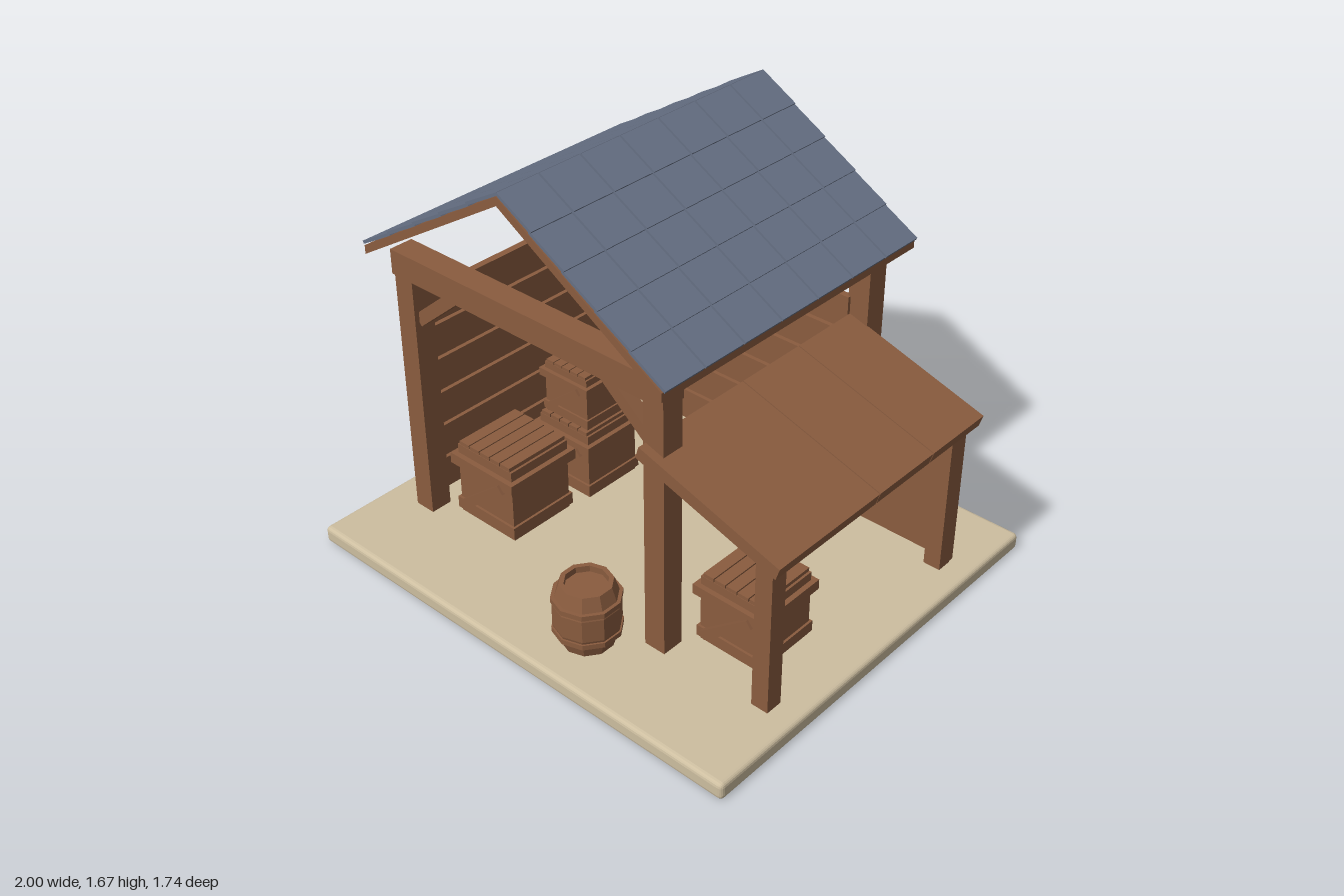
import * as THREE from 'three';
import { RoundedBoxGeometry } from 'three/addons/geometries/RoundedBoxGeometry.js';

const material = (name, color) => Object.assign(new THREE.MeshStandardMaterial({ color, flatShading: true }), { name });

export function createModel() {
  const wood = material('wood', 0x8a5c3f);
  const slate = material('slate', 0x667084);
  const sand = material('sand', 0xcdbea0);
  const model = new THREE.Group();

  function add(parent, name, geometry, mat, x = 0, y = 0, z = 0) {
    const mesh = new THREE.Mesh(geometry, mat);
    mesh.name = name;
    mesh.position.set(x, y, z);
    parent.add(mesh);
    return mesh;
  }
  // Box given by its lower and upper limits on each axis
  function block(parent, name, x0, x1, y0, y1, z0, z1, mat = wood) {
    const box = new THREE.BoxGeometry(x1 - x0, y1 - y0, z1 - z0);
    return add(parent, name, box, mat, (x0 + x1) / 2, (y0 + y1) / 2, (z0 + z1) / 2);
  }
  function group(name, x = 0, y = 0, z = 0) {
    const g = new THREE.Group();
    g.name = name;
    g.position.set(x, y, z);
    model.add(g);
    return g;
  }

  // Ground slab
  const floor = 0.07;
  add(model, 'groundSlab', new RoundedBoxGeometry(2, floor, 1.744, 2, 0.018), sand, 0, floor / 2, 0);

  // Main frame: four posts, front beam and two braces
  const frame = group('frame');
  for (const x of [-0.85, 0.36]) {
    block(frame, 'frontPost', x, x + 0.09, floor, 1.1, 0.445, 0.535);
    block(frame, 'backPost', x, x + 0.09, floor, 1.2, -0.655, -0.56);
  }
  block(frame, 'frontBeam', -0.855, 0.455, 1.1, 1.2, 0.443, 0.543);
  for (const side of [-1, 1]) {
    const brace = add(frame, 'brace', new THREE.BoxGeometry(0.29, 0.05, 0.05), wood, -0.2 + side * 0.455, 1.02, 0.49);
    brace.rotation.z = -side * 0.7;
  }

  // Plank walls at the back and on the right
  const walls = group('plankWalls');
  for (let i = 0; i < 6; i++) {
    const y = 0.125 + i * 0.149;
    block(walls, 'backPlank', -0.77, 0.37, y, y + 0.135, -0.575, -0.547);
    block(walls, 'sidePlank', -0.815, -0.785, y, y + 0.135, -0.57, 0.455);
  }

  // Gabled roof deck
  const roof = group('roof', -0.2, 0, -0.06);
  const gable = new THREE.Shape([[-0.71, 1.187], [0, 1.622], [0.71, 1.187], [0.71, 1.222], [0, 1.657], [-0.71, 1.222]]
    .map(([x, y]) => new THREE.Vector2(x, y)));
  const deck = new THREE.ExtrudeGeometry(gable, { depth: 1.34, bevelEnabled: false });
  add(roof, 'roofDeck', deck, wood, 0, 0, -0.67);

  // Overlapping slates: five rows of seven on each slope
  const tile = new THREE.BoxGeometry(0.176, 0.012, 0.183);
  for (const turn of [0, Math.PI]) {
    const facing = new THREE.Group();
    facing.name = 'slateSlope';
    facing.rotation.y = turn;
    const slope = new THREE.Group();
    slope.position.y = 1.657;
    slope.rotation.z = -Math.atan2(0.435, 0.71);
    facing.add(slope);
    roof.add(facing);
    for (let row = 0; row < 5; row++) {
      for (let col = 0; col < 7; col++) {
        const slab = add(slope, 'slate', tile, slate, 0.083 + row * 0.167, 0.008, (col - 3) * 0.1915);
        slab.rotation.z = 0.035;
      }
    }
  }

  // Lean-to: sloping boards, posts and back panel
  const leanTo = group('leanTo');
  for (let i = 0; i < 4; i++) {
    const board = add(leanTo, 'leanToBoard', new THREE.BoxGeometry(0.62, 0.05, i ? 0.302 : 0.222), wood,
      0.66, 0.818, i ? 0.652 - i * 0.306 + 0.004 - 0.152 : 0.459);
    board.rotation.z = -0.3;
  }
  block(leanTo, 'leanToFrontPost', 0.83, 0.9, floor, 0.7, 0.45, 0.52);
  block(leanTo, 'leanToBackPost', 0.83, 0.9, floor, 0.7, -0.55, -0.485);
  block(leanTo, 'leanToPanel', 0.44, 0.9, floor + 0.005, 0.69, -0.57, -0.55);

  // Crates with rails, front diagonal and slatted lid
  function crate(x, y, z, w, h) {
    const g = group('crate', x, y, z);
    const slab = (name, size, y0, y1) => block(g, name, -size / 2, size / 2, y0 * h, y1 * h, -size / 2, size / 2);
    slab('crateBody', w * 0.87, 0, 0.9);
    slab('bottomRail', w * 0.93, 0.05, 0.2);
    slab('topRail', w, 0.69, 0.83);
    slab('lid', w * 0.87, 0.88, 0.95);
    const diagonal = add(g, 'diagonal', new THREE.BoxGeometry(w * 0.86, h * 0.12, 0.02), wood, 0, h * 0.44, w * 0.5);
    diagonal.rotation.z = 0.68;
    for (let i = -2; i <= 2; i++) {
      const c = i * w * 0.165;
      block(g, 'lidSlat', c - w * 0.075, c + w * 0.075, h * 0.94, h, -w * 0.43, w * 0.43);
    }
  }
  crate(-0.54, floor, 0.3, 0.335, 0.33);
  crate(-0.505, floor, -0.07, 0.3, 0.3);
  crate(-0.505, floor + 0.3, -0.07, 0.255, 0.235);
  crate(0.62, floor, 0.25, 0.31, 0.295);

  // Barrel with recessed lid and two hoops
  const barrel = group('barrel', 0.193, floor, 0.65);
  const lathe = (points) => new THREE.LatheGeometry(points.map(([r, y]) => new THREE.Vector2(r, y)), 10);
  add(barrel, 'barrelStaves', lathe([[0, 0], [0.098, 0], [0.125, 0.085], [0.125, 0.175], [0.098, 0.26],
    [0.08, 0.26], [0.08, 0.235], [0, 0.235]]), wood);
  for (const y of [0.055, 0.185]) {
    add(barrel, 'hoop', lathe([[0.1, y], [0.129, y], [0.129, y + 0.02], [0.1, y + 0.02]]), wood);
  }
  return model;
}
